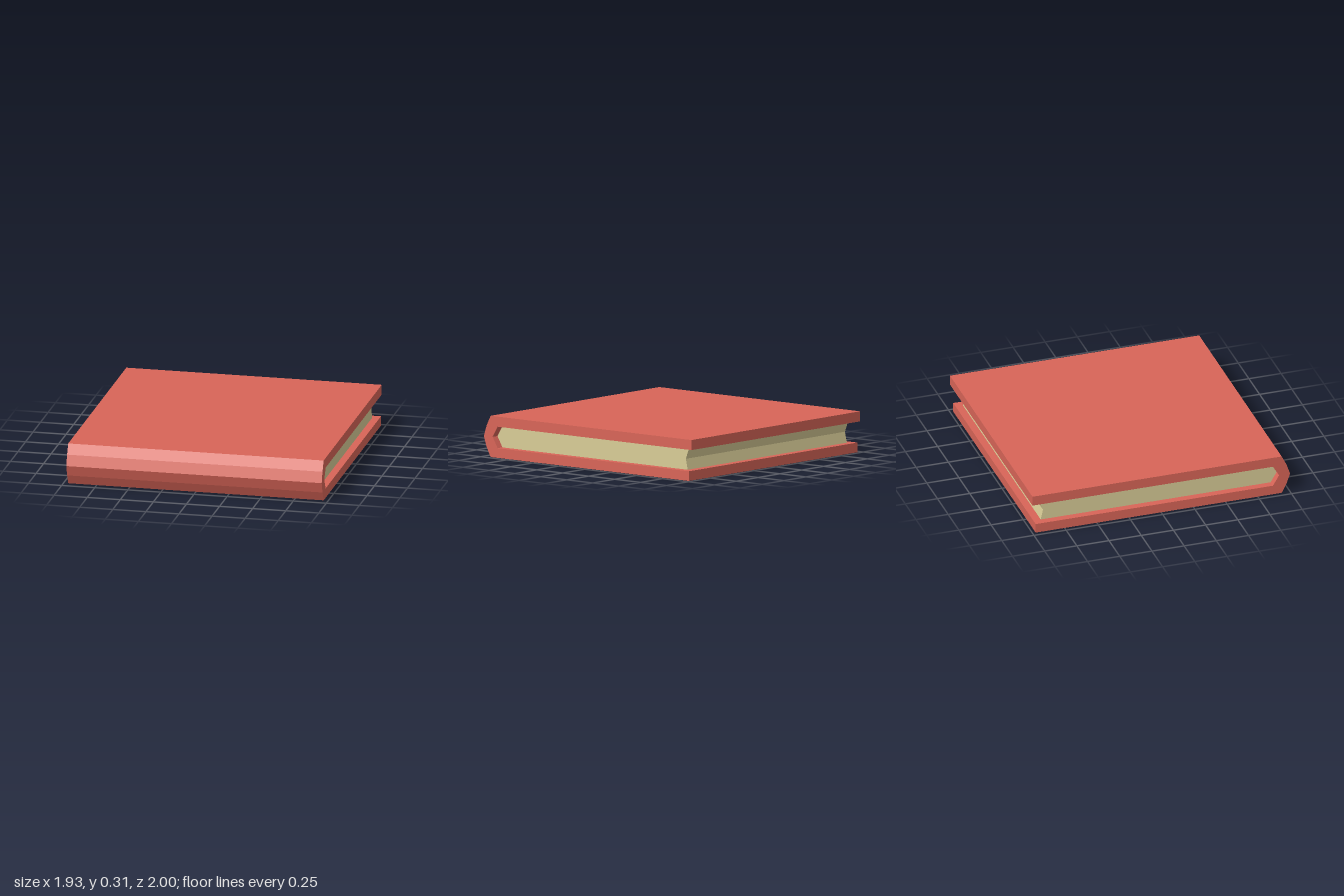
import * as THREE from 'three';

// Extrudes a (z, y) side profile along x, centred on x = 0.
function profilePart(name, points, width, color) {
  const shape = new THREE.Shape(points.map(([z, y]) => new THREE.Vector2(z, y)));
  const geometry = new THREE.ExtrudeGeometry(shape, { depth: width, bevelEnabled: false });
  geometry.translate(0, 0, -width / 2);
  geometry.rotateY(-Math.PI / 2);
  const material = new THREE.MeshStandardMaterial({ color, flatShading: true });
  const mesh = new THREE.Mesh(geometry, material);
  mesh.name = name;
  return mesh;
}

export function createModel() {
  const book = new THREE.Group();
  book.name = 'book';

  // Inside of the spine, shared by the cover and the pages
  const spineInside = [[0.867, 0.072], [0.915, 0.152], [0.867, 0.232]];

  // Both boards and the faceted spine in one wrap; the upper board is slightly longer
  const cover = profilePart('cover', [
    [-0.975, 0], [0.935, 0], [0.973, 0.072], [1, 0.152], [0.973, 0.232], [0.935, 0.307],
    [-1, 0.307], [-1, 0.232],
    ...[...spineInside].reverse(),
    [-0.975, 0.072],
  ], 1.93, 0xd86558);

  // Page block, set in at both ends, with a hollow fore edge
  const pages = profilePart('pages', [
    ...spineInside,
    [-0.93, 0.232], [-0.9, 0.152], [-0.918, 0.072],
  ], 1.82, 0xd8cc96);

  book.add(cover, pages);
  return book;
}
